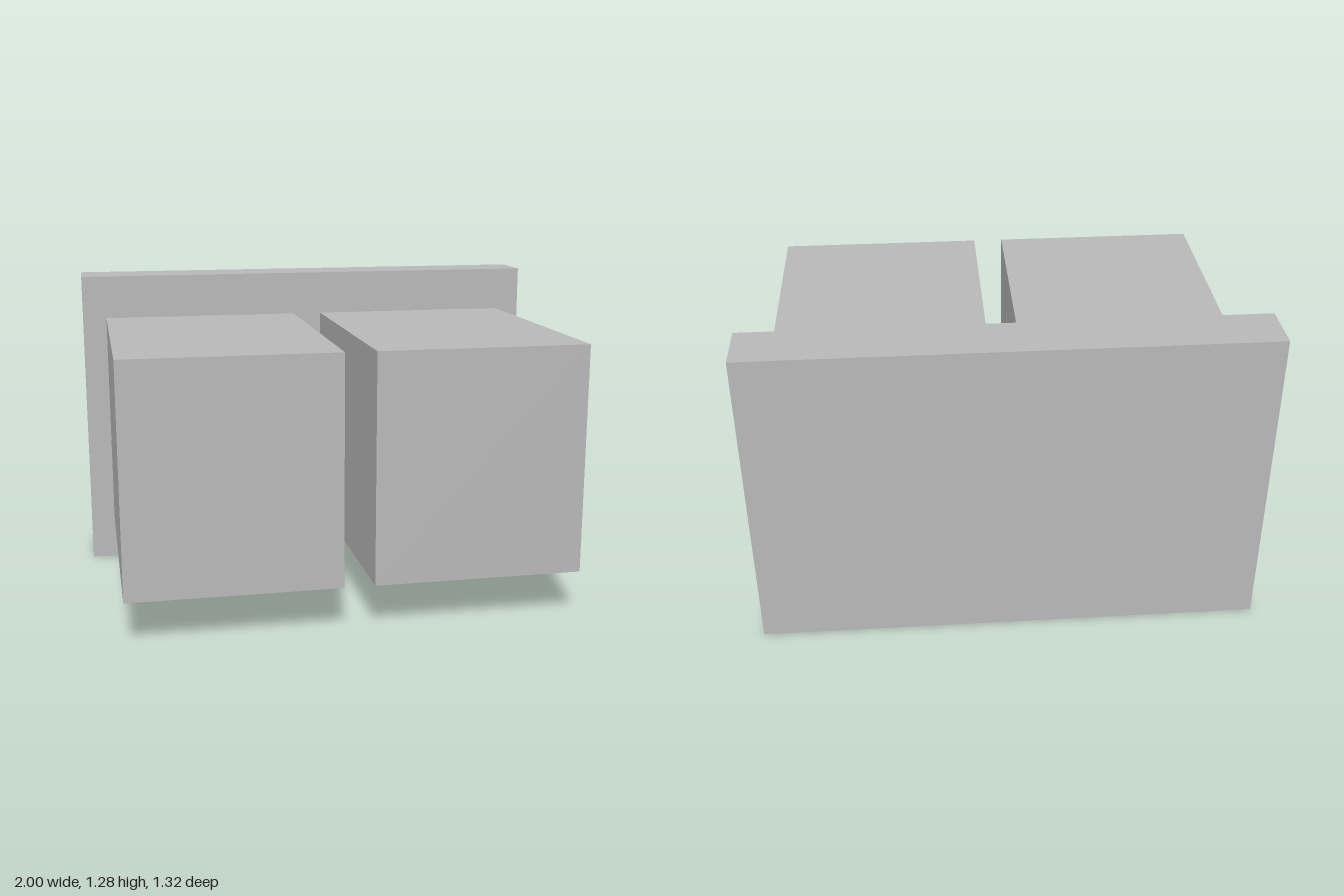
import * as THREE from 'three';

const grey = new THREE.MeshStandardMaterial({ color: 0xb8b8b8 });
grey.name = 'light grey';
grey.flatShading = true;

// Box given by its lower and upper corners
function box(name, [x0, y0, z0], [x1, y1, z1]) {
  const mesh = new THREE.Mesh(new THREE.BoxGeometry(x1 - x0, y1 - y0, z1 - z0), grey);
  mesh.name = name;
  mesh.position.set((x0 + x1) / 2, (y0 + y1) / 2, (z0 + z1) / 2);
  return mesh;
}

// Upright disc between two heights
function disc(name, x, z, radius, y0, y1, sides) {
  const mesh = new THREE.Mesh(new THREE.CylinderGeometry(radius, radius, y1 - y0, sides), grey);
  mesh.name = name;
  mesh.position.set(x, (y0 + y1) / 2, z);
  return mesh;
}

// One appliance, with its door and controls on the underside
function createMachine(name, x) {
  const machine = new THREE.Group();
  machine.name = name;
  machine.position.x = x;

  machine.add(box('cabinet', [-0.418, 0.184, -0.45], [0.418, 1.097, 0.66]));
  machine.add(box('controlPanel', [-0.35, 0.163, 0.33], [0.35, 0.184, 0.565]));
  machine.add(box('handle', [0.225, 0.163, 0.25], [0.325, 0.184, 0.28]));

  // Round door in three steps
  machine.add(disc('doorRim', 0, 0.067, 0.283, 0.145, 0.178, 20));
  machine.add(disc('doorRing', 0, 0.067, 0.231, 0.125, 0.145, 20));
  machine.add(disc('doorGlass', 0, 0.067, 0.181, 0.108, 0.125, 20));

  // Row of knobs
  for (let i = -2; i <= 2; i++) {
    machine.add(disc('knob', i * 0.118, 0.492, 0.027, 0.131, 0.151, 8));
  }
  return machine;
}

export function createModel() {
  const model = new THREE.Group();
  model.name = 'pairOfMachines';
  model.add(box('backSlab', [-1, 0, -0.66], [1, 1.28, -0.449]));
  model.add(createMachine('rightMachine', -0.481));
  model.add(createMachine('leftMachine', 0.477));
  return model;
}
